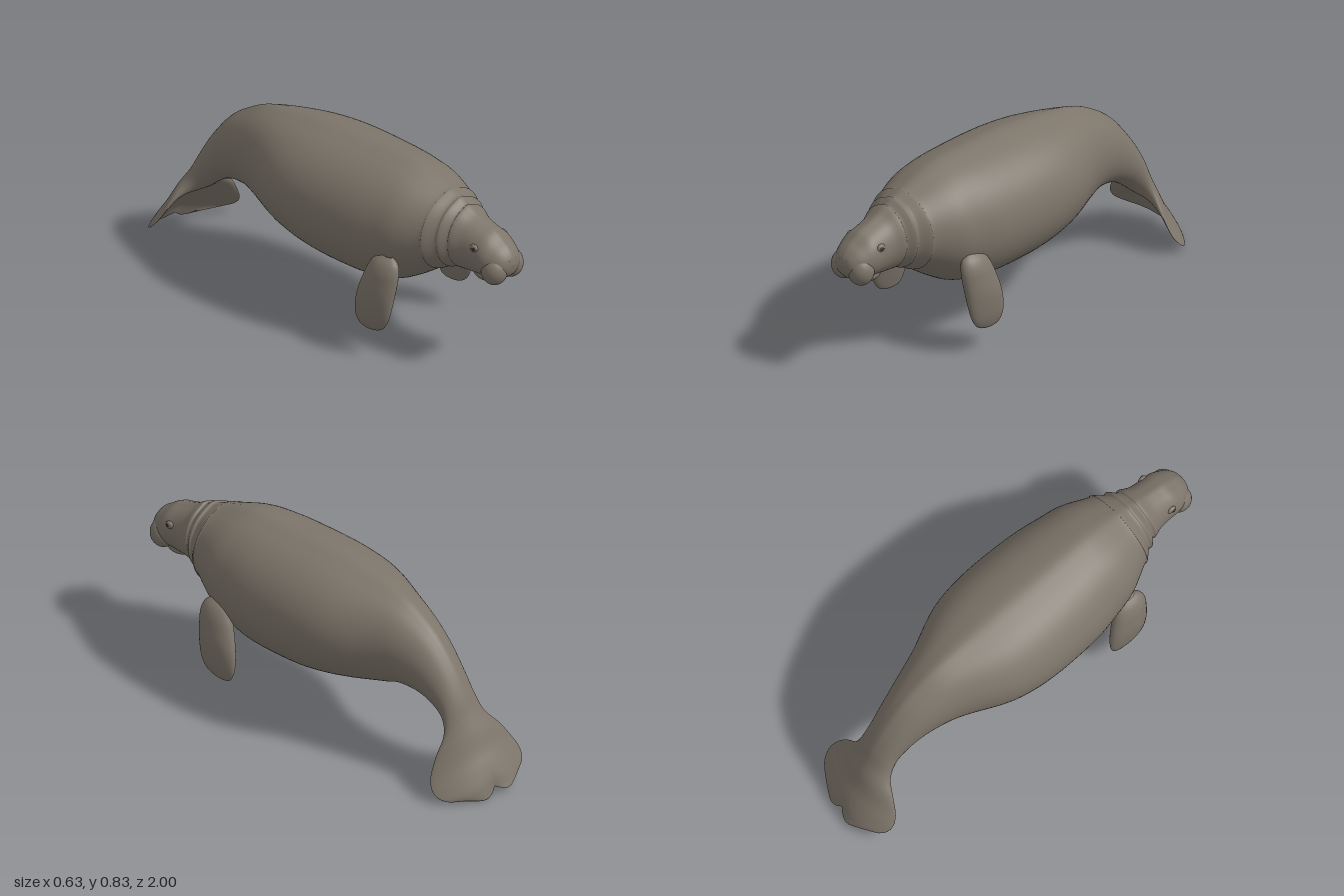
import * as THREE from 'three';

const skin = new THREE.MeshStandardMaterial({ color: 0x7d756a });
skin.name = 'greyBrownSkin';
const dark = new THREE.MeshStandardMaterial({ color: 0x2b2723 });
dark.name = 'darkDetail';

// Smoothly resample a table of stations, column by column
function resample(rows, steps) {
  const out = [];
  const last = rows.length - 1;
  const cr = (a, b, c, d, t) => b + 0.5 * t * (c - a + t * (2 * a - 5 * b + 4 * c - d + t * (3 * (b - c) + d - a)));
  for (let i = 0; i < last; i++) {
    const [a, b, c, d] = [rows[Math.max(i - 1, 0)], rows[i], rows[i + 1], rows[Math.min(i + 2, last)]];
    for (let s = 0; s < steps; s++) out.push(b.map((v, k) => cr(a[k], v, c[k], d[k], s / steps)));
  }
  out.push(rows[last]);
  return out;
}

// Skin a list of stations; point(station, angle) gives each vertex
function loft(stations, segments, point) {
  const pos = [], index = [];
  stations.forEach((st, i) => {
    for (let j = 0; j < segments; j++) {
      pos.push(...point(st, (j / segments) * Math.PI * 2));
      if (i === stations.length - 1) continue;
      const k = (j + 1) % segments;
      const a = i * segments + j, b = i * segments + k, c = a + segments, d = b + segments;
      index.push(a, b, c, b, d, c);
    }
  });
  const geo = new THREE.BufferGeometry();
  geo.setAttribute('position', new THREE.Float32BufferAttribute(pos, 3));
  geo.setIndex(index);
  geo.computeVertexNormals();
  return geo;
}

function add(parent, name, geo, mat) {
  const mesh = new THREE.Mesh(geo, mat);
  mesh.name = name;
  parent.add(mesh);
  return mesh;
}

function ellipsoid(parent, name, mat, center, radii) {
  const mesh = add(parent, name, new THREE.SphereGeometry(1, 32, 24), mat);
  mesh.position.set(...center);
  mesh.scale.set(...radii);
  return mesh;
}

// Each row: top z, top y, bottom z, bottom y, half width
const bodyRows = [
  [1.0, 0.53, 1.0, 0.53, 0],
  [0.99, 0.565, 0.99, 0.488, 0.045],
  [0.965, 0.597, 0.965, 0.46, 0.074],
  [0.93, 0.622, 0.93, 0.447, 0.093],
  [0.89, 0.65, 0.89, 0.44, 0.104],
  [0.84, 0.667, 0.84, 0.435, 0.104],
  [0.78, 0.69, 0.78, 0.43, 0.11],
  [0.735, 0.718, 0.735, 0.43, 0.127],
  [0.72, 0.714, 0.72, 0.43, 0.124],
  [0.69, 0.737, 0.69, 0.418, 0.152],
  [0.672, 0.735, 0.672, 0.415, 0.15],
  [0.63, 0.755, 0.63, 0.39, 0.187],
  [0.612, 0.758, 0.612, 0.385, 0.19],
  [0.5, 0.798, 0.5, 0.31, 0.243],
  [0.4, 0.82, 0.4, 0.26, 0.265],
  [0.25, 0.827, 0.25, 0.238, 0.289],
  [0, 0.828, 0, 0.25, 0.295],
  [-0.2, 0.812, -0.2, 0.288, 0.265],
  [-0.41, 0.775, -0.39, 0.335, 0.178],
  [-0.54, 0.715, -0.47, 0.362, 0.143],
  [-0.64, 0.642, -0.57, 0.362, 0.116],
  [-0.73, 0.535, -0.65, 0.338, 0.099],
  [-0.79, 0.435, -0.715, 0.295, 0.095],
];
// Fluke rows add: droop of the edges, roll, notch depth
const flukeRows = [
  [-0.83, 0.35, -0.775, 0.245, 0.115, 0.02, 0.01, 0],
  [-0.87, 0.275, -0.83, 0.22, 0.17, 0.06, 0.03, 0],
  [-0.905, 0.2, -0.88, 0.17, 0.217, 0.09, 0.04, 0],
  [-0.94, 0.14, -0.922, 0.12, 0.233, 0.088, 0.04, 0.004],
  [-0.963, 0.09, -0.953, 0.078, 0.205, 0.06, 0.035, 0.018],
  [-0.97, 0.05, -0.968, 0.046, 0.13, 0.02, 0.03, 0.034],
  [-0.97, 0.045, -0.97, 0.045, 0.1, 0.01, 0.025, 0.032],
];

function bodyPoint([tz, ty, bz, by, w, droop, roll, notch], a) {
  const u = Math.sin(a), c = Math.cos(a);
  const h = ty - by;
  const crest = c > 0 ? 0.01 * Math.pow(c, 60) * Math.min(1, h / 0.4) : 0;
  const drop = droop * u * u + roll * u;
  const back = notch * Math.sin(Math.PI * Math.min(1, Math.abs(u)));
  return [
    w * u,
    (ty + by) / 2 + (h / 2) * c + crest - 0.65 * drop - 0.75 * back,
    (tz + bz) / 2 + ((tz - bz) / 2) * c + 0.75 * drop - 0.65 * back,
  ];
}

// Flipper rows: y, centre x, half thickness, centre z, half chord
const flipperRows = [
  [0.475, 0.235, 0.01, 0.45, 0.03],
  [0.45, 0.24, 0.034, 0.447, 0.065],
  [0.41, 0.25, 0.044, 0.442, 0.083],
  [0.36, 0.258, 0.047, 0.432, 0.092],
  [0.3, 0.268, 0.046, 0.42, 0.098],
  [0.24, 0.275, 0.039, 0.41, 0.1],
  [0.18, 0.28, 0.028, 0.402, 0.093],
  [0.14, 0.281, 0.017, 0.396, 0.073],
  [0.12, 0.28, 0.009, 0.388, 0.045],
  [0.112, 0.28, 0, 0.385, 0],
];

export function createModel() {
  const model = new THREE.Group();
  model.name = 'manatee';

  // Body, head and tail fluke as one continuous skin
  const rows = [...bodyRows.map(r => [...r, 0, 0, 0]), ...flukeRows];
  add(model, 'bodyAndTail', loft(resample(rows, 5), 72, bodyPoint), skin);

  // Chin below the muzzle
  ellipsoid(model, 'chin', skin, [0, 0.453, 0.86], [0.068, 0.04, 0.075]);

  for (const side of [-1, 1]) {
    const label = side > 0 ? 'left' : 'right';

    // Drooping upper lip, eye and nostril
    ellipsoid(model, label + 'Lip', skin, [side * 0.05, 0.5, 0.93], [0.057, 0.067, 0.06]);
    ellipsoid(model, label + 'Eyelid', skin, [side * 0.093, 0.595, 0.852], [0.012, 0.018, 0.022]);
    ellipsoid(model, label + 'Eye', dark, [side * 0.101, 0.595, 0.856], [0.007, 0.008, 0.01]);
    ellipsoid(model, label + 'Nostril', dark, [side * 0.02, 0.552, 0.988], [0.007, 0.006, 0.005]);

    // Flipper, one held slightly further forward
    const shift = side > 0 ? -0.01 : 0.025;
    const flipper = loft(resample(flipperRows, 4), 32, ([y, x, rx, z, rz], a) => [
      side * (x + rx * Math.cos(a * side)),
      y,
      z + shift + rz * Math.sin(a * side) * side * side,
    ]);
    // The mirrored ring runs the other way round, keeping faces outward
    add(model, label + 'Flipper', flipper, skin);
  }
  return model;
}
